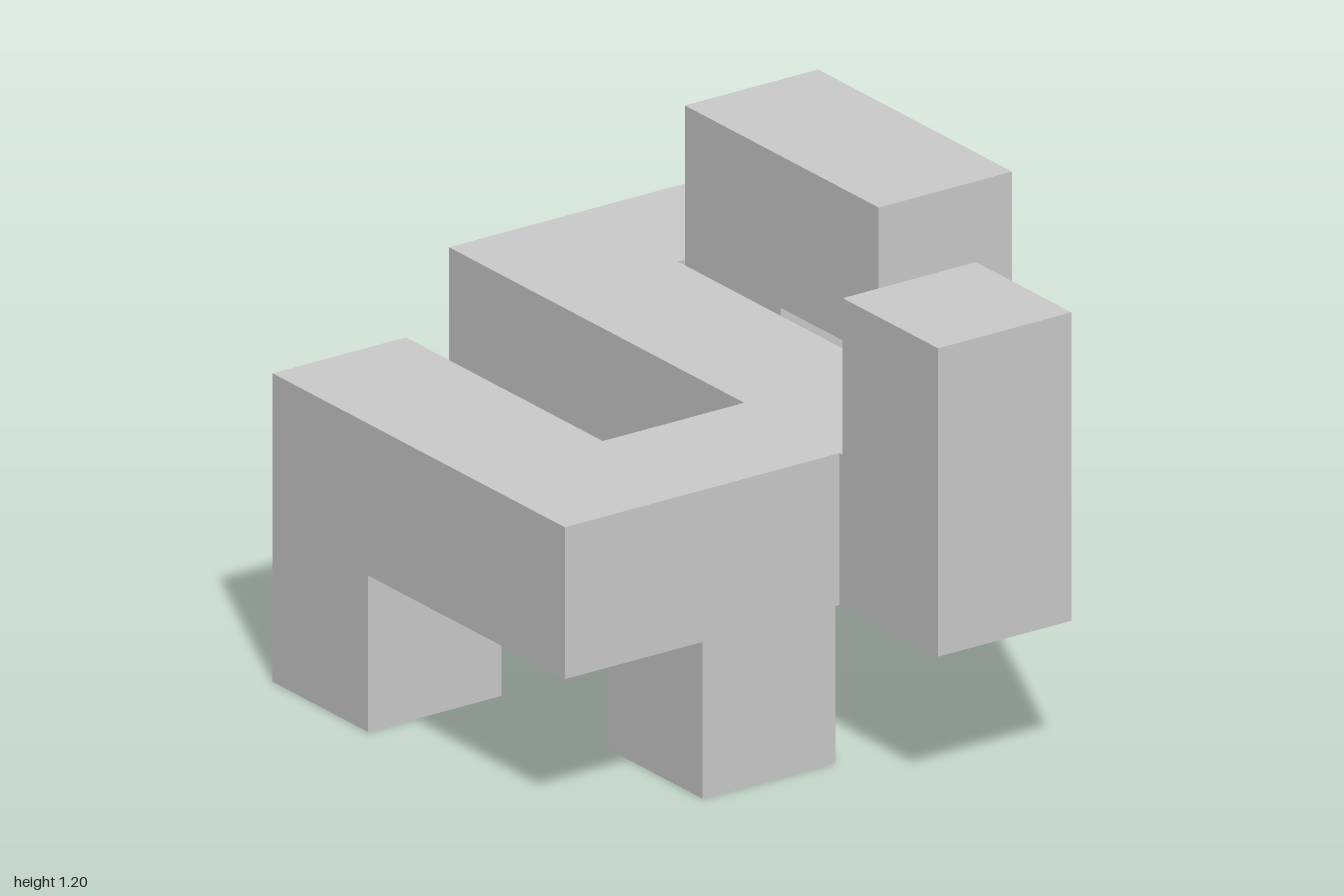
import * as THREE from 'three';

// Five cells span 2 units; unjoined neighbours are parted by a thin gap.
const PITCH = 2 / 4.97;
const SIZE = 0.97 * PITCH;
const lo = (i) => -1 + i * PITCH;
const hi = (i) => lo(i) + SIZE;
const floorOf = (layer) => layer * PITCH;
const topOf = (layer) => layer * PITCH + SIZE;

export function createModel() {
  const group = new THREE.Group();
  const material = new THREE.MeshStandardMaterial({ color: 0xcccccc, flatShading: true });

  const add = (name, geometry) => {
    const mesh = new THREE.Mesh(geometry, material);
    mesh.name = name;
    group.add(mesh);
    return mesh;
  };

  // Flat slab one cell thick, from an outline of [x, z] corners
  const slab = (name, layer, outline) => {
    const shape = new THREE.Shape(outline.map(([x, z]) => new THREE.Vector2(x, z)));
    const geometry = new THREE.ExtrudeGeometry(shape, { depth: SIZE, bevelEnabled: false });
    geometry.rotateX(Math.PI / 2).translate(0, topOf(layer), 0);
    add(name, geometry);
  };

  // Upright block in column x, covering cells z0 to z1, between two heights
  const block = (name, x, z0, z1, bottom, top) => {
    const depth = hi(z1) - lo(z0);
    add(name, new THREE.BoxGeometry(SIZE, top - bottom, depth))
      .position.set(lo(x) + SIZE / 2, (bottom + top) / 2, lo(z0) + depth / 2);
  };

  // Winding middle layer: rear arm, spine and hooked side arm
  slab('windingBody', 1, [
    [hi(4), lo(0)], [hi(4), hi(0)], [hi(2), hi(0)], [hi(2), hi(4)],
    [lo(2), hi(4)], [lo(2), hi(3)], [lo(0), hi(3)], [lo(0), lo(1)],
    [hi(0), lo(1)], [hi(0), lo(3)], [lo(2), lo(3)], [lo(2), lo(0)],
  ]);

  // Legs under the side arm and the post at the front of the spine
  block('sideLeg', 0, 1, 1, 0, floorOf(1));
  block('frontLeg', 1, 3, 3, 0, floorOf(1));
  block('frontPost', 2, 4, 4, topOf(1), topOf(2));

  // Corner foot, joined to the rear arm and carrying the overhanging bar
  slab('cornerFoot', 0, [
    [lo(3), lo(1)], [lo(3), hi(1)], [hi(4), hi(1)],
    [hi(4), lo(0)], [lo(4), lo(0)], [lo(4), lo(1)],
  ]);
  block('rearJoint', 4, 0, 0, topOf(0), floorOf(1));
  block('barPost', 3, 1, 1, topOf(0), floorOf(2));
  block('overhangingBar', 3, 1, 2, floorOf(2), topOf(2));

  return group;
}
